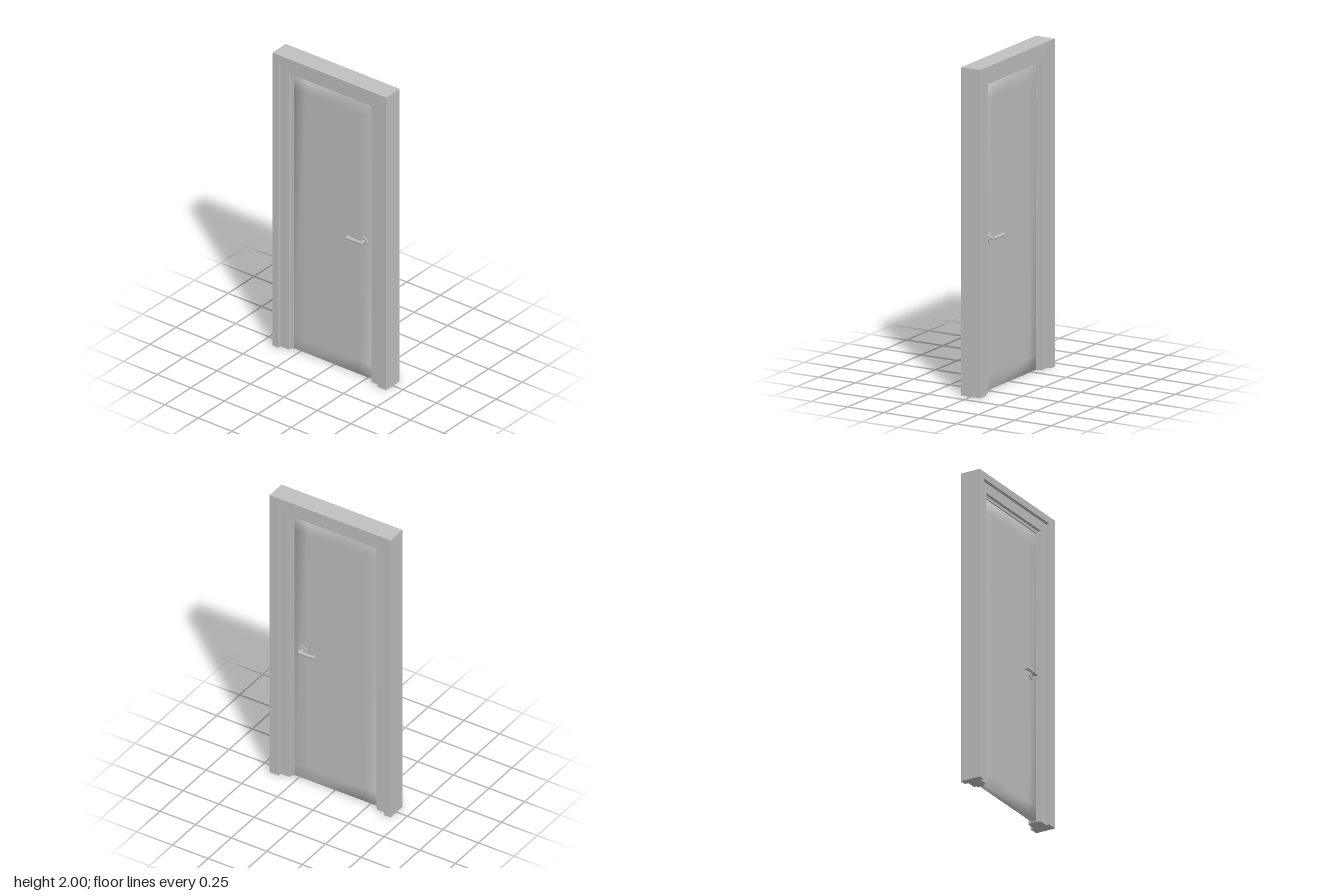
import * as THREE from 'three';
import { mergeVertices } from 'three/addons/utils/BufferGeometryUtils.js';

const grey = new THREE.MeshStandardMaterial({ color: 0xc0c0c0 });
grey.name = 'light grey';

function add(parent, name, geometry, x = 0, y = 0, z = 0) {
  const mesh = new THREE.Mesh(geometry, grey);
  mesh.name = name;
  mesh.position.set(x, y, z);
  parent.add(mesh);
  return mesh;
}

// Upside-down U standing on the floor: outer and inner are [left, right, top]
function portal(outer, inner, z0, z1) {
  const [a, b, t] = outer, [c, d, u] = inner;
  const corners = [[a, 0], [c, 0], [c, u], [d, u], [d, 0], [b, 0], [b, t], [a, t]];
  const shape = new THREE.Shape(corners.map(([x, y]) => new THREE.Vector2(x, y)));
  return new THREE.ExtrudeGeometry(shape, { depth: z1 - z0, bevelEnabled: false }).translate(0, 0, z0);
}

// Slab with softly shaded borders: inner rows pulled towards the edges
function softSlab(w, h, d, border) {
  const g = new THREE.BoxGeometry(w, h, d, 3, 3, 1);
  const p = g.attributes.position;
  const pull = (v, size) => (Math.abs(v) < size * 0.4 ? Math.sign(v) * (size / 2 - border) : v);
  for (let i = 0; i < p.count; i++) {
    p.setX(i, pull(p.getX(i), w));
    p.setY(i, pull(p.getY(i), h));
  }
  g.deleteAttribute('normal');
  g.deleteAttribute('uv');
  const soft = mergeVertices(g);
  soft.computeVertexNormals();
  return soft;
}

// Lever handle facing +z, pointing to -x
function leverHandle() {
  const handle = new THREE.Group();
  handle.name = 'leverHandle';
  add(handle, 'rose', new THREE.CylinderGeometry(0.028, 0.03, 0.006, 32).rotateX(Math.PI / 2), 0, 0, 0.003);
  add(handle, 'neck', new THREE.CylinderGeometry(0.01, 0.01, 0.03, 20).rotateX(Math.PI / 2), 0, 0, 0.019);
  add(handle, 'grip', new THREE.CylinderGeometry(0.01, 0.01, 0.114, 20).rotateZ(Math.PI / 2), -0.048, 0, 0.031);
  add(handle, 'gripReturn', new THREE.BoxGeometry(0.01, 0.018, 0.014), -0.1, 0, 0.022);
  return handle;
}

export function createModel() {
  const model = new THREE.Group();
  model.name = 'door';

  // Stepped surround
  const surround = [-0.425, 0.425, 2];
  const casing = [-0.38, 0.36, 1.955];
  const opening = [-0.315, 0.298, 1.89];
  const leafHole = [-0.301, 0.285, 1.873];
  add(model, 'outerSurround', portal(surround, casing, -0.065, 0.065));
  add(model, 'casing', portal(casing, opening, -0.042, 0.044));
  add(model, 'doorStop', portal(opening, leafHole, -0.024, 0.024));

  // Door leaf
  const front = 0.021, back = -0.013;
  add(model, 'doorLeaf', softSlab(0.58, 1.863, front - back, 0.09), -0.008, 0.9365, (front + back) / 2);

  // Handles on both sides, both pointing towards the hinges
  const outside = leverHandle();
  outside.position.set(0.226, 0.928, front);
  const inside = leverHandle();
  inside.position.set(0.226, 0.928, back);
  inside.rotation.set(0, Math.PI, Math.PI);
  inside.rotation.set(Math.PI, 0, 0);
  model.add(outside, inside);

  // Hinge barrels
  for (const y of [0.29, 1.0, 1.68]) {
    add(model, 'hinge', new THREE.CylinderGeometry(0.005, 0.005, 0.07, 12), -0.299, y, back - 0.003);
  }
  return model;
}
